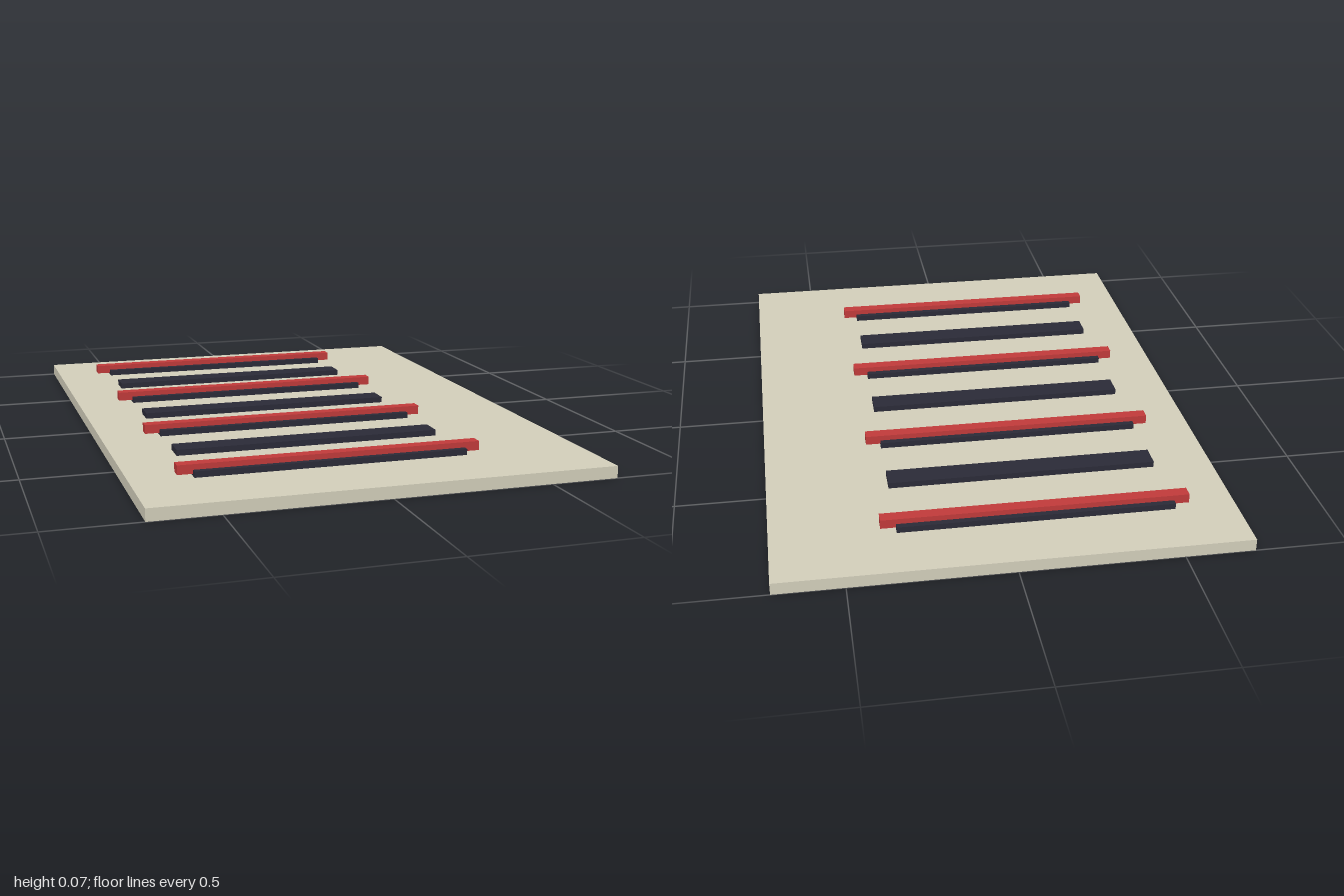
import * as THREE from 'three';

// Box named for its part, centred on (x, z) and spanning bottom to top in y
function bar(name, color, width, depth, bottom, top, x, z) {
  const mesh = new THREE.Mesh(
    new THREE.BoxGeometry(width, top - bottom, depth),
    new THREE.MeshStandardMaterial({ color })
  );
  mesh.name = name;
  mesh.position.set(x, (bottom + top) / 2, z);
  return mesh;
}

export function createModel() {
  const model = new THREE.Group();
  model.name = 'slattedPanel';

  const slabTop = 0.038;
  const barX = -0.095;
  const spacing = 0.2476;

  // Base slab
  model.add(bar('baseSlab', 0xd4d0bc, 1.429, 2, 0, slabTop, 0, 0));

  // Seven dark strips, every other one topped by a longer red rail
  for (let i = 0; i < 7; i++) {
    const z = -0.024 + (i - 3) * spacing;
    model.add(bar('darkStrip', 0x2b2b38, 0.857, 0.076, slabTop, 0.057, barX, z));
    if (i % 2 === 0) {
      model.add(bar('redRail', 0xc23b3b, 0.952, 0.038, 0.045, 0.074, barX, z));
    }
  }
  return model;
}
